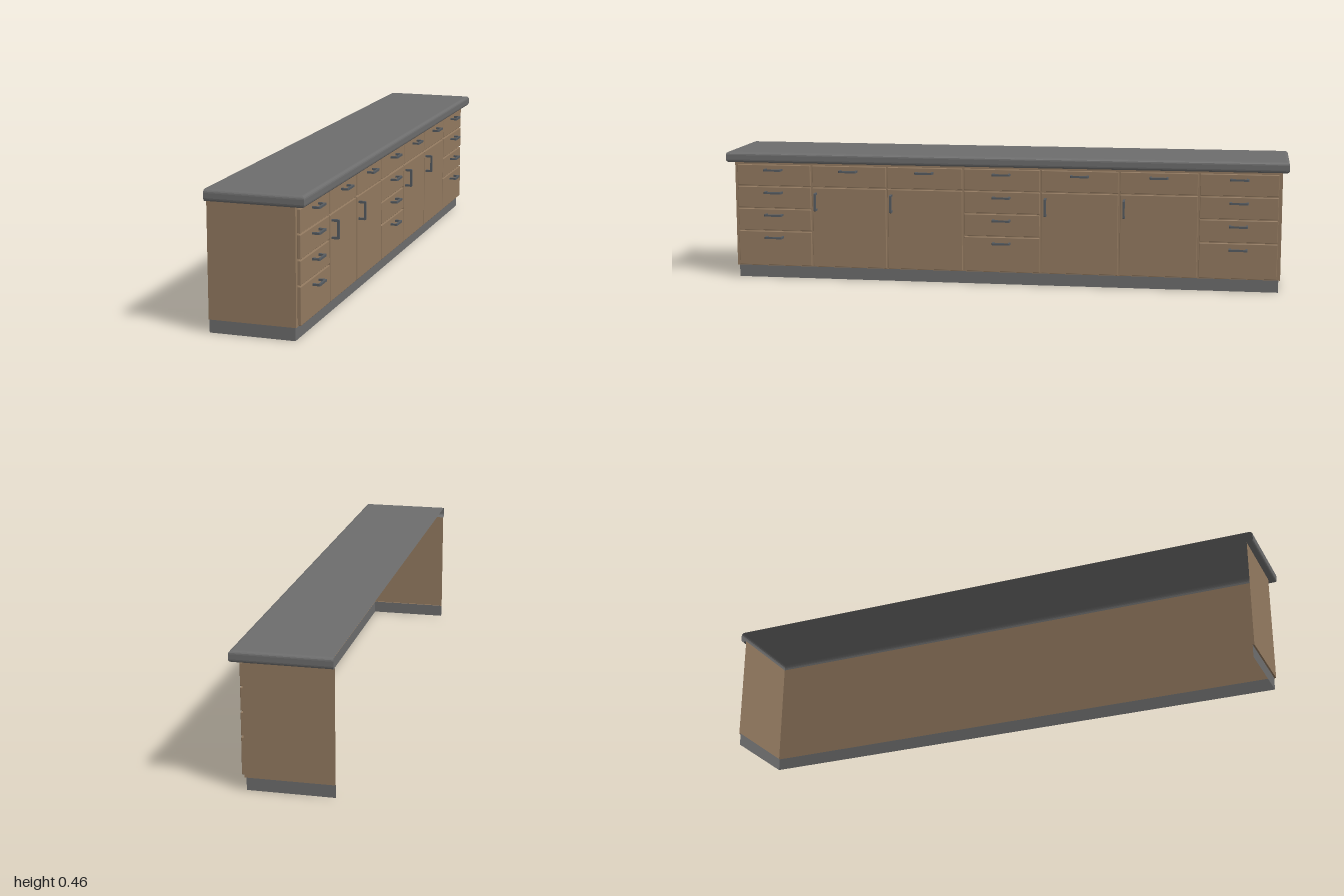
import * as THREE from 'three';
import { RoundedBoxGeometry } from 'three/addons/geometries/RoundedBoxGeometry.js';

const wood = new THREE.MeshStandardMaterial({ name: 'wood', color: 0x937a60, side: THREE.DoubleSide });
const stone = new THREE.MeshStandardMaterial({ name: 'grey worktop', color: 0x6d6d6d, side: THREE.DoubleSide });
const metal = new THREE.MeshStandardMaterial({ name: 'dark metal', color: 0x565b60 });

const BACK = -0.165;

// Open three-sided band following the front and both ends.
// Each ring is [front x, half length z, y]; neighbouring rings are joined.
function bandGeometry(rings, capTop) {
  const pos = [];
  const corners = ([x, z, y]) => [[BACK, y, z], [x, y, z], [x, y, -z], [BACK, y, -z]];
  const quad = (a, b, c, d) => pos.push(...a, ...b, ...c, ...a, ...c, ...d);
  for (let i = 0; i < rings.length - 1; i++) {
    const lo = corners(rings[i]), hi = corners(rings[i + 1]);
    for (let k = 0; k < 3; k++) quad(lo[k], lo[k + 1], hi[k + 1], hi[k]);
  }
  if (capTop) quad(...corners(rings[rings.length - 1]));
  const g = new THREE.BufferGeometry();
  g.setAttribute('position', new THREE.Float32BufferAttribute(pos, 3));
  g.computeVertexNormals();
  return g;
}

// U-shaped pull: x points outward, y runs along the grip
function handleGeometry() {
  const h = 0.0325, out = 0.026, t = 0.0075, c = 0.004;
  const s = new THREE.Shape();
  s.moveTo(0, -h);
  s.lineTo(out - c, -h);
  s.quadraticCurveTo(out, -h, out, -h + c);
  s.lineTo(out, h - c);
  s.quadraticCurveTo(out, h, out - c, h);
  s.lineTo(0, h);
  s.lineTo(0, h - t);
  s.lineTo(out - t, h - t);
  s.lineTo(out - t, -h + t);
  s.lineTo(0, -h + t);
  s.closePath();
  const g = new THREE.ExtrudeGeometry(s, { depth: 0.007, bevelEnabled: false, curveSegments: 3 });
  return g.translate(0, 0, -0.0035);
}

export function createModel() {
  const model = new THREE.Group();
  model.name = 'baseCabinetRun';
  const add = (name, geometry, material, x = 0, y = 0, z = 0) => {
    const m = new THREE.Mesh(geometry, material);
    m.name = name;
    m.position.set(x, y, z);
    model.add(m);
    return m;
  };

  // Plinth and carcass: thin shells, open at the back
  add('plinth', bandGeometry([[0.12, 0.972, 0], [0.12, 0.972, 0.044]]), stone);
  add('carcass', bandGeometry([[0.12, 0.972, 0.044], [0.125, 0.978, 0.044], [0.125, 0.978, 0.425]]), wood);

  // Worktop with rounded front and end edges and a lip beneath
  const rings = [[0.125, 0.978, 0.425]];
  const r = 0.011, y0 = 0.425, y1 = 0.463, steps = 4;
  for (const top of [false, true]) {
    for (let i = 0; i <= steps; i++) {
      const a = (i / steps) * Math.PI / 2;
      const inset = r * (1 - (top ? Math.cos(a) : Math.sin(a)));
      const y = top ? y1 - r + r * Math.sin(a) : y0 + r - r * Math.cos(a);
      rings.push([0.162 - inset, 1 - inset, y]);
    }
  }
  add('worktop', bandGeometry(rings, true), stone);

  // Seven columns of fronts: drawer stacks at the ends and middle, doors between
  const pitch = 0.277, frontX = 0.137;
  const handle = handleGeometry();
  const front = (name, z, lo, hi) => add(name,
    new RoundedBoxGeometry(0.012, hi - lo, pitch - 0.007, 1, 0.002), wood,
    frontX - 0.006, (lo + hi) / 2, z);
  const drawer = (z, lo, hi, handleY) => {
    front('drawerFront', z, lo, hi);
    add('drawerHandle', handle, metal, frontX, handleY, z).rotation.x = Math.PI / 2;
  };

  for (let i = 0; i < 7; i++) {
    const z = (3 - i) * pitch;
    drawer(z, 0.340, 0.415, 0.398);
    if (i % 3 === 0) {
      drawer(z, 0.259, 0.335, 0.316);
      drawer(z, 0.177, 0.254, 0.234);
      drawer(z, 0.048, 0.172, 0.152);
    } else {
      front('door', z, 0.048, 0.335);
      add('doorHandle', handle, metal, frontX, 0.286, z + pitch / 2 - 0.018);
    }
  }
  return model;
}
